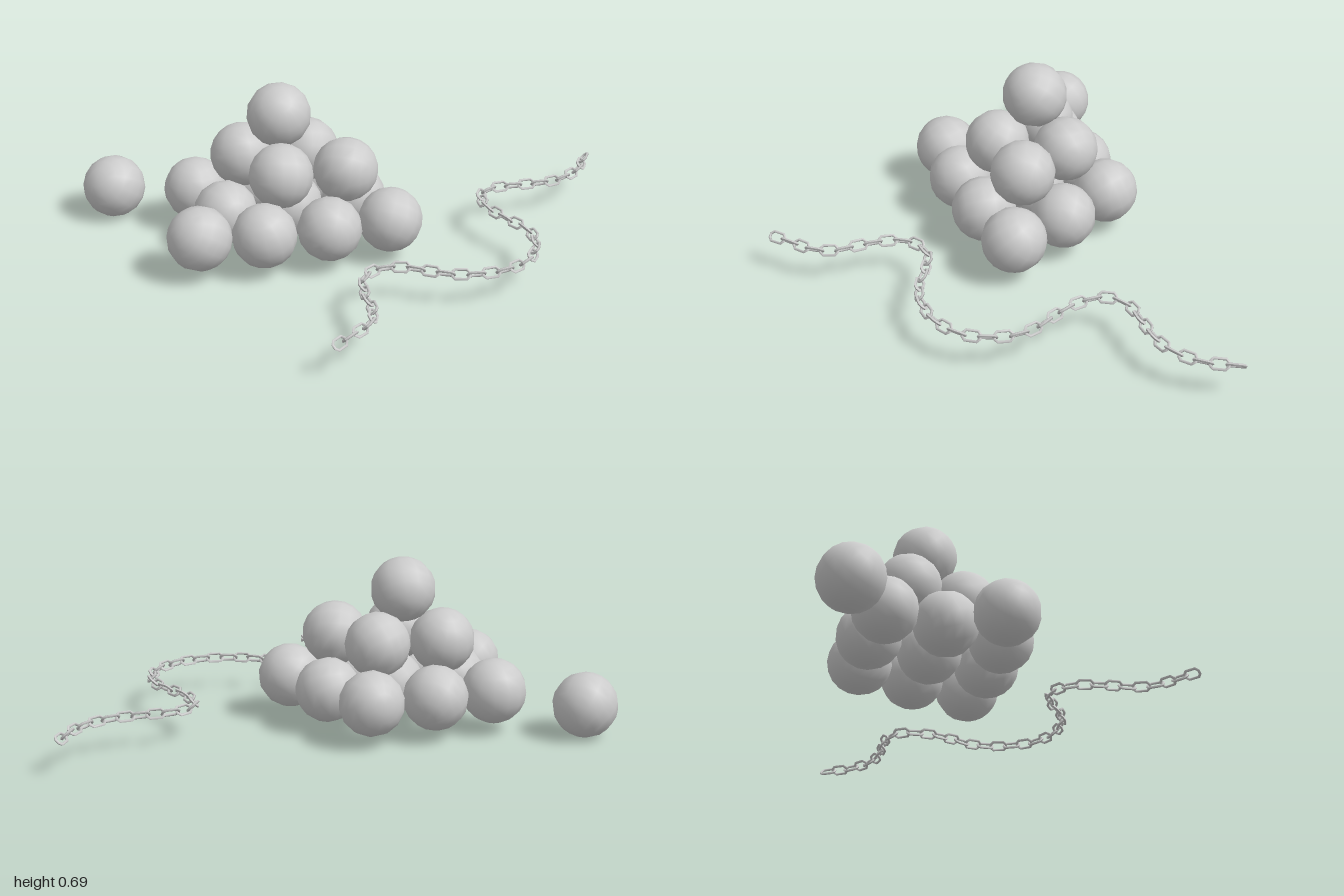
import * as THREE from 'three';

const BALL_RADIUS = 0.132;
const BALL_Y = { ground: 0.14, base: 0.17, middle: 0.365, top: 0.565 };

// Ball centres [x, z] by layer
const BASE = [
  [-0.5, -0.02], [-0.295, -0.175], [-0.07, -0.315],
  [-0.295, 0.15], [-0.07, -0.01], [0.15, -0.175],
  [-0.07, 0.295], [0.155, 0.15], [0.36, -0.012],
];
const MIDDLE = [[-0.283, -0.012], [-0.05, -0.15], [-0.058, 0.135], [0.167, -0.012]];

// Ground path of the chain [x, z], from back to front
const CHAIN_PATH = [
  [0.97, -0.965], [0.965, -0.8], [0.9, -0.67], [0.78, -0.58], [0.675, -0.51],
  [0.637, -0.42], [0.69, -0.32], [0.785, -0.245], [0.878, -0.185], [0.94, -0.1],
  [0.962, 0.05], [0.91, 0.17], [0.81, 0.255], [0.7, 0.295], [0.59, 0.3],
  [0.49, 0.31], [0.41, 0.37], [0.397, 0.46], [0.447, 0.58], [0.507, 0.68],
  [0.515, 0.775], [0.485, 0.86], [0.45, 0.96],
];
const CHAIN_Y = 0.137;
const LINK_PITCH = 0.059;

// Oval link: an eight-sided ring pulled apart along x
function linkGeometry() {
  const geometry = new THREE.TorusGeometry(0.021, 0.006, 5, 8);
  geometry.rotateZ(Math.PI / 8);
  const p = geometry.attributes.position;
  for (let i = 0; i < p.count; i++) p.setX(i, p.getX(i) + Math.sign(p.getX(i)) * 0.0145);
  geometry.computeVertexNormals();
  return geometry;
}

export function createModel() {
  const model = new THREE.Group();
  const material = new THREE.MeshStandardMaterial({ color: 0xcccccc });

  // Stacked balls, each turned a little differently
  const pile = new THREE.Group();
  pile.name = 'ballPile';
  model.add(pile);
  const ballGeometry = new THREE.SphereGeometry(BALL_RADIUS, 14, 10);
  let count = 0;
  const addBall = (parent, name, [x, z], y) => {
    const ball = new THREE.Mesh(ballGeometry, material);
    ball.name = name;
    ball.position.set(x, y, z);
    ball.rotation.set(count * 0.7, count * 1.3, count * 0.4);
    count++;
    parent.add(ball);
  };
  BASE.forEach((c) => addBall(pile, 'baseBall', c, BALL_Y.base));
  MIDDLE.forEach((c) => addBall(pile, 'middleBall', c, BALL_Y.middle));
  addBall(pile, 'topBall', [-0.12, -0.01], BALL_Y.top);

  // Balls lying apart from the pile
  addBall(model, 'frontLooseBall', [-0.305, 0.405], BALL_Y.base);
  addBall(model, 'sideLooseBall', [-0.867, 0.005], BALL_Y.ground - 0.008);

  // Chain: links follow the path, rolled alternately to either side
  const chain = new THREE.Group();
  chain.name = 'chain';
  model.add(chain);
  const path = new THREE.CatmullRomCurve3(
    CHAIN_PATH.map(([x, z]) => new THREE.Vector3(x, CHAIN_Y, z)));
  const linkShape = linkGeometry();
  const links = Math.round(path.getLength() / LINK_PITCH);
  for (let i = 0; i < links; i++) {
    const u = (i + 0.5) / links;
    const tangent = path.getTangentAt(u);
    const link = new THREE.Mesh(linkShape, material);
    link.name = 'chainLink';
    link.position.copy(path.getPointAt(u));
    link.rotation.order = 'YXZ';
    link.rotation.y = Math.atan2(-tangent.z, tangent.x);
    link.rotation.x = (i % 2 ? 1 : -1) * Math.PI / 4;
    chain.add(link);
  }
  return model;
}
